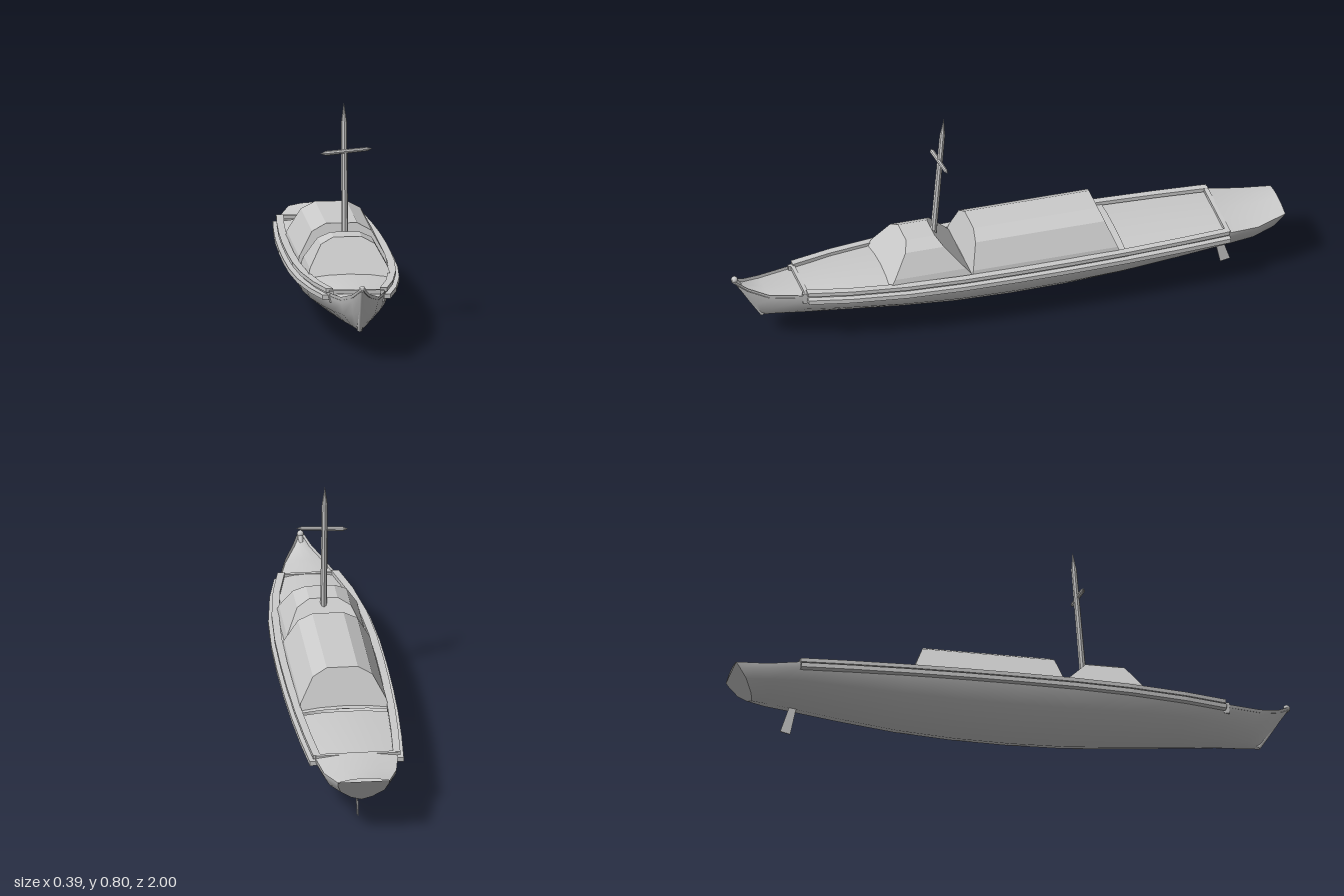
import * as THREE from 'three';

const mat = new THREE.MeshStandardMaterial({ color: 0xcccccc, side: THREE.DoubleSide });
const flatMat = new THREE.MeshStandardMaterial({ color: 0xcccccc, side: THREE.DoubleSide, flatShading: true });

// Skin a list of cross-sections, each a list of [x, y, z] points
function loft(name, rows, flat = false) {
  const n = rows[0].length, index = [];
  for (let i = 0; i < rows.length - 1; i++) {
    for (let j = 0; j < n - 1; j++) {
      const a = i * n + j, b = a + n;
      index.push(a, a + 1, b, b, a + 1, b + 1);
    }
  }
  let geo = new THREE.BufferGeometry();
  geo.setAttribute('position', new THREE.Float32BufferAttribute(rows.flat(2), 3));
  geo.setIndex(index);
  if (flat) geo = geo.toNonIndexed();
  geo.computeVertexNormals();
  return named(name, geo, flat ? flatMat : mat);
}

function named(name, geo, material = mat) {
  const mesh = new THREE.Mesh(geo, material);
  mesh.name = name;
  return mesh;
}

// Hull stations: [z at keel, z at rail, keel y, rail y, half beam]
const stations = [
  [0.89, 1.0, 0.095, 0.268, 0.006],
  [0.88, 0.95, 0.095, 0.238, 0.032],
  [0.84, 0.88, 0.092, 0.218, 0.066],
  [0.74, 0.75, 0.087, 0.213, 0.1],
  [0.6, 0.6, 0.077, 0.217, 0.133],
  [0.4, 0.4, 0.058, 0.219, 0.16],
  [0.2, 0.2, 0.042, 0.219, 0.172],
  [0, 0, 0.036, 0.219, 0.175],
  [-0.2, -0.2, 0.038, 0.219, 0.174],
  [-0.4, -0.4, 0.05, 0.219, 0.169],
  [-0.6, -0.6, 0.074, 0.219, 0.159],
  [-0.78, -0.78, 0.1, 0.216, 0.146],
  [-0.87, -0.89, 0.111, 0.208, 0.128],
  [-0.925, -1.0, 0.117, 0.22, 0.092],
];
const half = [[1, 1], [0.98, 0.82], [0.84, 0.47], [0.4, 0.14], [0, 0]];
const profile = [...half, ...half.slice(0, -1).reverse().map(([x, y]) => [-x, y])];

function hullSection([zk, zr, yk, yr, b]) {
  return profile.map(([x, t]) => [x * b, yk + (yr - yk) * t, zk + (zr - zk) * t]);
}

// Deck strip between two rail positions, dropped below the rail and cambered
function deckRows(list, drop, camber) {
  return list.map(([, zr, , yr, b]) => [-1, -0.5, 0, 0.5, 1].map(
    s => [s * b, yr - drop + camber * (1 - s * s), zr]));
}

// Rectangular strip following the rail line on one side
function railStrip(name, side, inner, outer, y0, y1) {
  const rows = stations.slice(3, 12).map(([, zr, , , b]) => {
    const i = side * (b + inner), o = side * (b + outer);
    return [[i, y0, zr], [o, y0, zr], [o, y1, zr], [i, y1, zr], [i, y0, zr]];
  });
  const middle = r => r.map(() => [(r[0][0] + r[1][0]) / 2, (y0 + y1) / 2, r[0][2]]);
  return loft(name, [middle(rows[0]), ...rows, middle(rows.at(-1))], true);
}

// Cabin with sloping sides and ends; arch holds [x, y] from rail to roof
function cabin(name, arch, frontBase, frontTop, backTop, backBase) {
  const pts = [...arch, ...[...arch].reverse().map(([x, y]) => [-x, y])];
  const y0 = arch[0][1], h = arch.at(-1)[1] - y0;
  const row = (base, top, w = 1) => pts.map(([x, y]) => [x * w, y, base + (top - base) * (y - y0) / h]);
  return loft(name, [row(frontBase, frontTop, 0), row(frontBase, frontTop),
    row(backBase, backTop), row(backBase, backTop, 0)], true);
}

// Tapered round spar between two points, with a pointed far end
function spar(name, from, to, radius, tip, pointedBothEnds = false) {
  const a = new THREE.Vector3(...from), b = new THREE.Vector3(...to);
  const len = a.distanceTo(b);
  const pts = [[0, 0], [radius, pointedBothEnds ? tip : 0], [radius * 0.82, len - tip], [0, len]];
  const mesh = named(name, new THREE.LatheGeometry(pts.map(p => new THREE.Vector2(...p)), 8), flatMat);
  mesh.position.copy(a);
  mesh.quaternion.setFromUnitVectors(new THREE.Vector3(0, 1, 0), b.sub(a).normalize());
  return mesh;
}

function box(name, w, h, d, x, y, z) {
  const mesh = named(name, new THREE.BoxGeometry(w, h, d));
  mesh.position.set(x, y, z);
  return mesh;
}

export function createModel() {
  const boat = new THREE.Group();
  boat.name = 'boat';

  // Hull, raked transom and decks
  boat.add(loft('hull', stations.map(hullSection)));
  const stern = hullSection(stations.at(-1));
  boat.add(loft('transom', [stern, stern.map(([, y, z]) => [0, y, z])]));
  boat.add(loft('foredeck', deckRows(stations.slice(0, 4), 0.012, 0.006)));
  boat.add(loft('mainDeck', deckRows(stations.slice(3, 10), 0.005, 0.012)));
  boat.add(loft('aftWell', deckRows(stations.slice(9, 12), 0.014, 0.012)));
  boat.add(loft('sternDeck', deckRows(stations.slice(11), 0, 0.012)));

  // Stem post and its knob
  const stem = new THREE.CatmullRomCurve3([
    [0.885, 0.1], [0.92, 0.155], [0.96, 0.22], [0.988, 0.262]].map(([z, y]) => new THREE.Vector3(0, y, z)));
  boat.add(named('stemPost', new THREE.TubeGeometry(stem, 10, 0.009, 8)));
  const knob = named('stemKnob', new THREE.SphereGeometry(0.012, 10, 8));
  knob.position.set(0, 0.263, 0.988);
  boat.add(knob);

  // Side planks and raised rails
  for (const side of [1, -1]) {
    const tag = side > 0 ? 'left' : 'right';
    boat.add(railStrip(tag + 'SidePlank', side, -0.015, 0.02, 0.188, 0.204));
    boat.add(railStrip(tag + 'Rail', side, -0.018, 0.008, 0.213, 0.227));
    // Cleats beside the bow beam
    boat.add(box(tag + 'BowCleat', 0.014, 0.04, 0.02, side * 0.09, 0.2, 0.755));
  }
  boat.add(box('bowBeam', 0.19, 0.014, 0.014, 0, 0.214, 0.75));
  boat.add(box('sternBeam', 0.29, 0.014, 0.016, 0, 0.219, -0.775));

  // Cabins
  boat.add(cabin('mainCabin',
    [[0.157, 0.215], [0.152, 0.24], [0.105, 0.325], [0.055, 0.352]], 0.165, 0.13, -0.325, -0.38));
  boat.add(cabin('frontCabin',
    [[0.146, 0.215], [0.138, 0.245], [0.095, 0.322], [0.05, 0.345]], 0.46, 0.375, 0.27, 0.155));

  // Mast raked forward at the foot, with a crossing yard
  boat.add(spar('mast', [0, 0.25, 0.266], [0, 0.798, 0.222], 0.0125, 0.07));
  boat.add(spar('yard', [-0.085, 0.619, 0.246], [0.1, 0.634, 0.238], 0.0085, 0.02, true));

  // Thin rudder blade
  const blade = new THREE.Shape([[-0.765, 0.11], [-0.79, 0.11], [-0.824, 0.008], [-0.788, 0]]
    .map(([z, y]) => new THREE.Vector2(-z, y)));
  const rudder = named('rudder', new THREE.ExtrudeGeometry(blade, { depth: 0.004, bevelEnabled: false }));
  rudder.rotation.y = Math.PI / 2;
  rudder.position.x = -0.002;
  boat.add(rudder);

  return boat;
}
